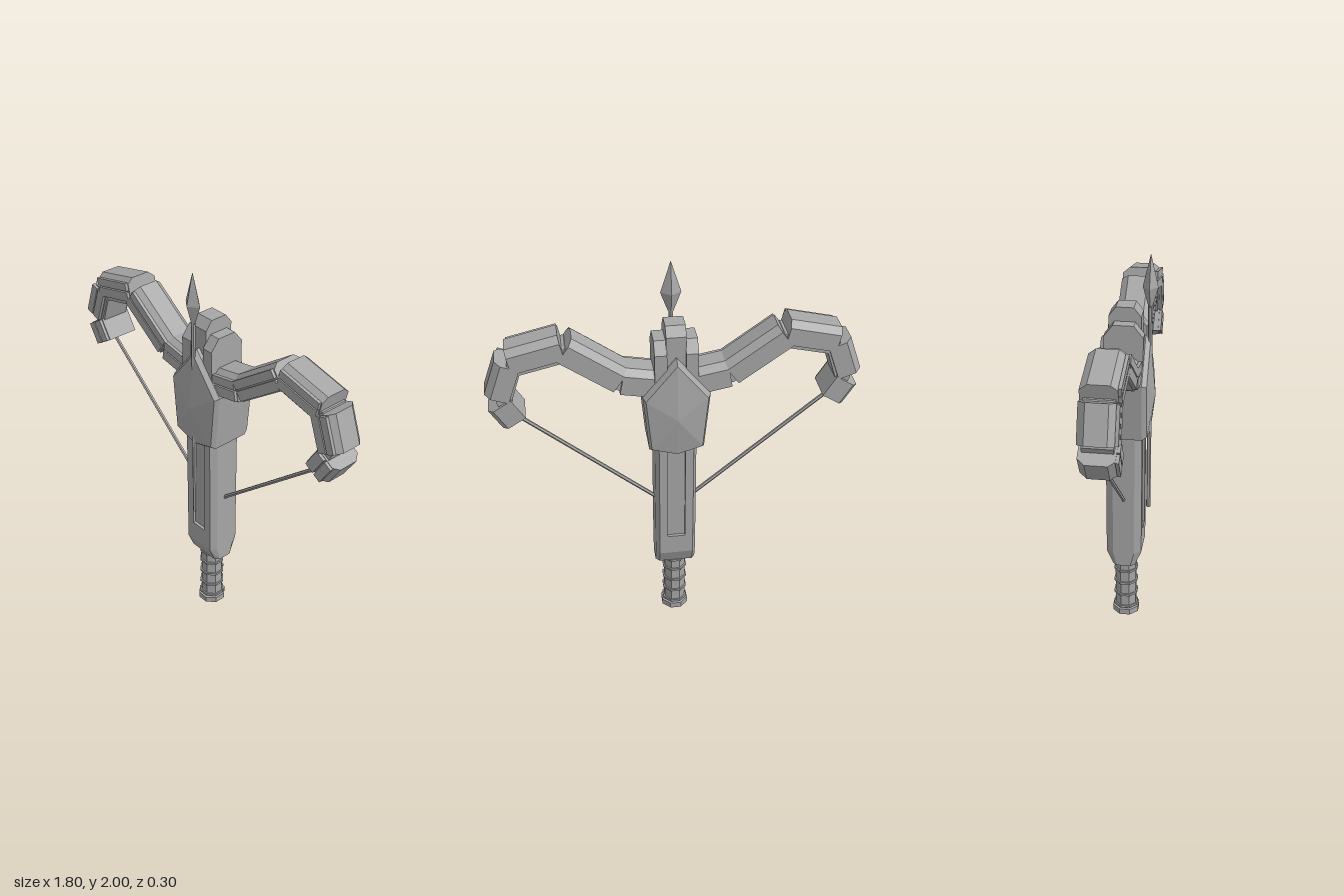
import * as THREE from 'three';

const grey = new THREE.MeshStandardMaterial({ color: 0xa6a6a6, flatShading: true });
grey.name = 'stone grey';

const shapeOf = (pts) => new THREE.Shape(pts.map(([x, y]) => new THREE.Vector2(x, y)));
const extrude = (pts, depth) =>
  new THREE.ExtrudeGeometry(shapeOf(pts), { depth, bevelEnabled: false });

// Chamfered rectangle outline; cx and cy are the corner cuts
function chamfered(w, h, cx, cy) {
  return [[w, -h + cy], [w, h - cy], [w - cx, h], [-w + cx, h],
    [-w, h - cy], [-w, -h + cy], [-w + cx, -h], [w - cx, -h]];
}

export function createModel() {
  const model = new THREE.Group();
  const add = (name, geometry, parent = model) => {
    const mesh = new THREE.Mesh(geometry, grey);
    mesh.name = name;
    parent.add(mesh);
    return mesh;
  };

  // Vertical prism from an (x, z) outline
  const column = (pts, y0, y1) =>
    extrude(pts, y1 - y0).rotateX(-Math.PI / 2).translate(0, y0, 0);

  // Grip with rings and pommel
  const octagon = (r, h, y) =>
    new THREE.CylinderGeometry(r, r, h, 8).rotateY(Math.PI / 8).translate(0, y, 0);
  add('grip', octagon(0.058, 0.34, 0.18));
  add('pommel', octagon(0.073, 0.032, 0.016));
  for (const y of [0.045, 0.12, 0.195, 0.27, 0.335]) add('gripRing', octagon(0.066, 0.012, y));

  // Stock: tapered foot, plain section, then a section grooved front and back
  const outline = chamfered(0.104, 0.09, 0.018, 0.035);
  const foot = column(outline, 0.34, 0.42);
  const fp = foot.attributes.position;
  for (let i = 0; i < fp.count; i++) if (fp.getY(i) < 0.35) fp.setZ(i, fp.getZ(i) * 0.63);
  add('stockFoot', foot);
  add('stockLower', column(outline, 0.42, 0.53));
  const g = 0.045, d = 0.074;
  const grooved = [...outline.slice(0, 3), [g, 0.09], [g, d], [-g, d], [-g, 0.09],
    ...outline.slice(3, 7), [-g, -0.09], [-g, -d], [g, -d], [g, -0.09], outline[7]];
  add('stockUpper', column(grooved, 0.53, 1.45));

  // Arched prongs and taller centre block at the head; profile in (z, y)
  const arch = (halfZ, top, cut, x0, x1) =>
    extrude([[-halfZ, 1.35], [halfZ, 1.35], [halfZ, top - cut * 1.3], [halfZ - cut, top],
      [-halfZ + cut, top], [-halfZ, top - cut * 1.3]], x1 - x0)
      .rotateY(Math.PI / 2).translate(x0, 0, 0);
  add('prongLeft', arch(0.095, 1.68, 0.045, 0.045, 0.104));
  add('prongRight', arch(0.095, 1.68, 0.045, -0.104, -0.045));
  add('headBlock', arch(0.078, 1.75, 0.035, -0.048, 0.048));

  // Five-sided shield body, bevelled and rising to a low point front and back
  const outer = [[0, 1.06], [0.135, 1.1], [0.163, 1.4], [0, 1.6], [-0.163, 1.4], [-0.135, 1.1]];
  const centre = [0, 1.29];
  const ring = (s, z) => outer.map(([x, y]) => [x * s, centre[1] + (y - centre[1]) * s, z]);
  const point = (z) => outer.map(() => [0, centre[1], z]);
  const rings = [point(-0.15), ring(0.92, -0.122), ring(1, -0.095),
    ring(1, 0.095), ring(0.92, 0.118), point(0.145)];
  const verts = [];
  for (let k = 0; k < rings.length - 1; k++) {
    for (let i = 0; i < 6; i++) {
      const j = (i + 1) % 6;
      const a = rings[k][i], b = rings[k][j], c = rings[k + 1][j], e = rings[k + 1][i];
      if (k > 0) verts.push(...a, ...b, ...c);
      if (k < rings.length - 2) verts.push(...a, ...c, ...e);
      if (k === 0) verts.splice(verts.length - 9, 9, ...a, ...c, ...e);
    }
  }
  const body = new THREE.BufferGeometry();
  body.setAttribute('position', new THREE.Float32BufferAttribute(verts, 3));
  body.computeVertexNormals();
  add('shieldBody', body);

  // Limb armour: start, end and width of each segment
  const segments = [
    [[0.08, 1.455], [0.257, 1.488], 0.128],
    [[0.262, 1.492], [0.516, 1.673], 0.125],
    [[0.53, 1.69], [0.776, 1.632], 0.118],
    [[0.783, 1.612], [0.844, 1.44], 0.118],
    [[0.834, 1.4], [0.772, 1.3], 0.13],
  ];
  const spine = [[0.08, 1.44], [0.265, 1.475], [0.52, 1.645], [0.755, 1.59], [0.81, 1.425], [0.77, 1.33]]
    .map(([x, y]) => new THREE.Vector2(x, y));

  // Offsets the spine sideways with mitred corners
  const offsetLine = (dist) => spine.map((p, i) => {
    const a = spine[Math.max(i - 1, 0)], b = spine[i + 1] || p;
    const u = (i ? p.clone().sub(a) : b.clone().sub(p)).normalize();
    const v = (spine[i + 1] ? b.clone().sub(p) : u.clone()).normalize();
    const n = new THREE.Vector2(-u.y - v.y, u.x + v.x).normalize();
    const k = dist / (n.x * -u.y + n.y * u.x);
    return [p.x + n.x * k, p.y + n.y * k];
  });

  for (const side of [1, -1]) {
    const limb = new THREE.Group();
    limb.name = side > 0 ? 'limbLeft' : 'limbRight';
    model.add(limb);

    // Continuous inner core
    const core = [...offsetLine(-0.035), ...offsetLine(0.035).reverse()]
      .map(([x, y]) => [x * side, y]);
    add('limbCore', extrude(core, 0.14).translate(0, 0, -0.075), limb);

    for (const [a, b, w] of segments) {
      const dx = b[0] - a[0], dy = b[1] - a[1], len = Math.hypot(dx, dy);
      const segment = new THREE.Group();
      segment.name = 'limbSegment';
      segment.position.set(side * (a[0] + b[0]) / 2, (a[1] + b[1]) / 2, 0);
      segment.rotation.z = side * Math.atan2(dy, dx);
      limb.add(segment);
      // Local +y is the outer edge, which is chamfered
      const h = w / 2;
      const profile = [[-0.075, -h], [0.09, -h], [0.09, h - 0.03], [0.055, h],
        [-0.045, h], [-0.075, h - 0.025]];
      add('limbPlate', extrude(profile, len).rotateY(Math.PI / 2).translate(-len / 2, 0, 0), segment);
      // Two front rails with a narrow channel between
      for (const [y, t] of [[h * 0.36, w * 0.34], [-h * 0.5, w * 0.4]]) {
        add('limbRail', new THREE.BoxGeometry(len * 0.96, t, 0.016).translate(0, y, 0.082), segment);
      }
    }

    // Bowstring
    const from = new THREE.Vector3(side * 0.775, 1.31, 0);
    const to = new THREE.Vector3(side * 0.098, 0.737, 0);
    add('bowstring', new THREE.TubeGeometry(new THREE.LineCurve3(from, to), 1, 0.01, 6), limb);
  }

  // Bolt lying along the front, with a four-sided diamond head
  const bolt = new THREE.Group();
  bolt.name = 'bolt';
  bolt.position.z = 0.115;
  model.add(bolt);
  add('boltShaft', new THREE.CylinderGeometry(0.011, 0.011, 1.12, 6).translate(0, 1.21, 0), bolt);
  const tip = new THREE.CylinderGeometry(0, 1, 0.16, 4).translate(0, 1.92, 0);
  const base = new THREE.CylinderGeometry(1, 0.25, 0.1, 4).translate(0, 1.79, 0);
  add('boltTip', tip.scale(0.05, 1, 0.037), bolt);
  add('boltTipBase', base.scale(0.05, 1, 0.037), bolt);

  return model;
}
